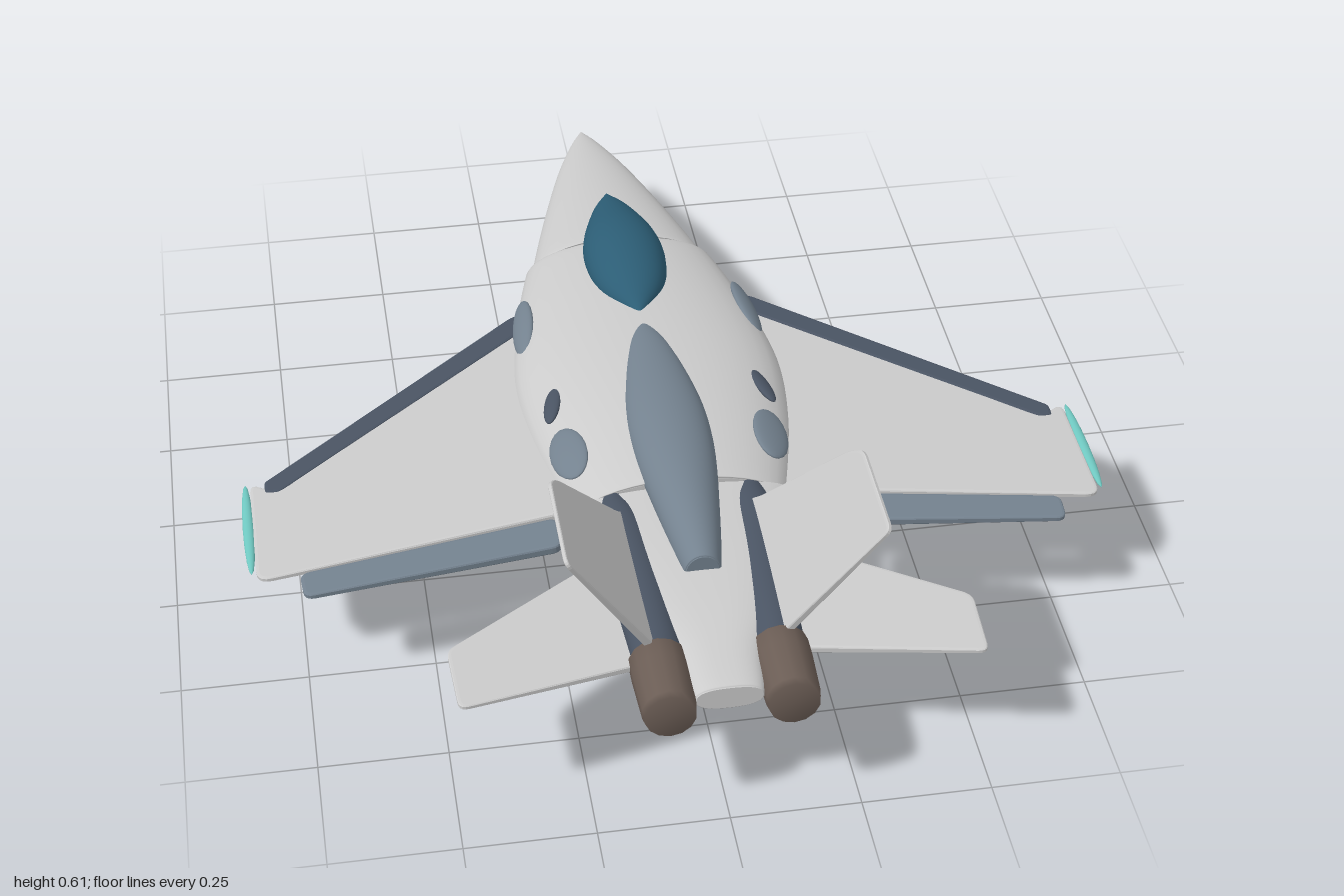
import * as THREE from 'three';

const GREY = 0xcccccc, DARK = 0x4a5463, BELLY = 0x343b48, PANEL = 0x74828f;
const GLASS = 0x2c5d75, BROWN = 0x6b5d55, TEAL = 0x6fc7c0, TYRE = 0x33363d;
const mats = {};
const mat = (c) => (mats[c] ??= new THREE.MeshStandardMaterial({ color: c, side: THREE.DoubleSide }));

function add(parent, name, geo, color) {
  const m = new THREE.Mesh(geo, mat(color));
  m.name = name;
  parent.add(m);
  return m;
}

// Smooth body along z through sections [z, centreX, centreY, halfWidth, up, down]
function loft(sections, power = 1, sides = 40, steps = 6) {
  const curve = (a, b, c) => new THREE.CatmullRomCurve3(
    sections.map((s) => new THREE.Vector3(s[a], s[b], s[c])), false, 'catmullrom', 0.5);
  const c1 = curve(0, 1, 2), c2 = curve(3, 4, 5);
  const n = (sections.length - 1) * steps, pos = [], idx = [];
  const bend = (v) => Math.sign(v) * Math.abs(v) ** power;
  const ring = (i) => {
    const p = c1.getPoint(i / n), q = c2.getPoint(i / n);
    for (let j = 0; j < sides; j++) {
      const a = (j / sides) * Math.PI * 2, s = Math.sin(a);
      pos.push(p.x + Math.max(q.x, 0.0005) * bend(Math.cos(a)),
        p.y + Math.max(s > 0 ? q.y : q.z, 0.0005) * bend(s), p.z);
    }
    return p;
  };
  // curve stores (z, x, y); reorder it to (x, y, z)
  const get = c1.getPoint.bind(c1);
  c1.getPoint = (t) => { const v = get(t); return new THREE.Vector3(v.y, v.z, v.x); };
  for (let i = 0; i <= n; i++) ring(i);
  for (let i = 0; i < n; i++) {
    for (let j = 0; j < sides; j++) {
      const k = (j + 1) % sides, a = i * sides + j, b = i * sides + k;
      idx.push(a, b, b + sides, a, b + sides, a + sides);
    }
  }
  // End caps
  for (const i of [0, n]) {
    const base = pos.length / 3, p = ring(i), mid = pos.length / 3;
    pos.push(p.x, p.y, p.z);
    for (let j = 0; j < sides; j++) {
      const a = base + j, b = base + ((j + 1) % sides);
      if (i) idx.push(mid, a, b); else idx.push(mid, b, a);
    }
  }
  const g = new THREE.BufferGeometry();
  g.setAttribute('position', new THREE.Float32BufferAttribute(pos, 3));
  g.setIndex(idx);
  g.computeVertexNormals();
  return g;
}

// Flat surface from plan corners [x, z], rounded corners, thinning toward the tip
function plate(points, side, thick, tipThick = thick, round = 0.02) {
  const pts = points.map(([x, z]) => new THREE.Vector2(x * side, z));
  const shape = new THREE.Shape();
  pts.forEach((p, i) => {
    const toward = (q) => p.clone().add(q.clone().sub(p).setLength(Math.min(round, p.distanceTo(q) * 0.4)));
    const a = toward(pts.at(i - 1)), b = toward(pts[(i + 1) % pts.length]);
    if (i) shape.lineTo(a.x, a.y); else shape.moveTo(a.x, a.y);
    shape.quadraticCurveTo(p.x, p.y, b.x, b.y);
  });
  shape.closePath();
  const g = new THREE.ExtrudeGeometry(shape, {
    depth: 0.6, bevelThickness: 0.2, bevelSize: 0.006, bevelOffset: -0.006, bevelSegments: 2, curveSegments: 5 });
  g.translate(0, 0, -0.3);
  g.rotateX(Math.PI / 2);
  const xs = points.map((p) => p[0]), lo = Math.min(...xs), hi = Math.max(...xs);
  const P = g.attributes.position;
  for (let i = 0; i < P.count; i++) {
    const t = (Math.abs(P.getX(i)) - lo) / (hi - lo);
    P.setY(i, P.getY(i) * THREE.MathUtils.lerp(thick, tipThick, t));
  }
  g.computeVertexNormals();
  return g;
}

function place(mesh, x, y, z, rotZ = 0) {
  mesh.position.set(x, y, z);
  mesh.rotation.z = rotZ;
  return mesh;
}

// Wheel on a strut, standing on the ground
function landingGear(name, x, z, r, w) {
  const g = new THREE.Group();
  g.name = name;
  g.position.set(x, 0, z);
  const tube = r * 0.32;
  const tyre = new THREE.TorusGeometry(r - tube, tube, 14, 32).rotateY(Math.PI / 2).scale(w / tube, 1, 1);
  add(g, 'tyre', tyre, TYRE).position.y = r;
  const hub = new THREE.CylinderGeometry(r * 0.5, r * 0.5, w * 1.5, 20).rotateZ(Math.PI / 2);
  add(g, 'hub', hub, GREY).position.y = r;
  const profile = [[0.006, r], [0.009, 0.09], [0.017, 0.105], [0.018, 0.125], [0.011, 0.155], [0.012, 0.205]];
  add(g, 'strut', new THREE.LatheGeometry(profile.map((p) => new THREE.Vector2(...p)), 16), GREY);
  return g;
}

export function createModel() {
  const jet = new THREE.Group();
  jet.name = 'jet';

  // Fuselage
  add(jet, 'nose', loft([
    [-1, 0, 0.235, 0.001, 0.001, 0.001], [-0.93, 0, 0.24, 0.034, 0.016, 0.012],
    [-0.8, 0, 0.247, 0.082, 0.037, 0.024], [-0.6, 0, 0.257, 0.14, 0.064, 0.041],
    [-0.42, 0, 0.265, 0.186, 0.082, 0.06], [-0.408, 0, 0.265, 0.182, 0.076, 0.055],
  ]), GREY);
  add(jet, 'centreFuselage', loft([
    [-0.402, 0, 0.267, 0.192, 0.07, 0.06], [-0.385, 0, 0.267, 0.207, 0.08, 0.068],
    [-0.2, 0, 0.27, 0.25, 0.097, 0.076], [0, 0, 0.27, 0.278, 0.106, 0.08],
    [0.2, 0, 0.27, 0.263, 0.104, 0.08], [0.41, 0, 0.272, 0.218, 0.086, 0.077],
    [0.428, 0, 0.272, 0.205, 0.075, 0.068],
  ]), GREY);
  add(jet, 'rearFuselage', loft([
    [0.43, 0, 0.28, 0.226, 0.055, 0.07], [0.6, 0, 0.283, 0.195, 0.053, 0.06],
    [0.75, 0, 0.283, 0.14, 0.046, 0.046], [0.86, 0, 0.282, 0.085, 0.036, 0.036],
    [0.955, 0, 0.28, 0.068, 0.03, 0.03], [0.97, 0, 0.28, 0.062, 0.024, 0.024],
  ], 0.8), GREY);
  add(jet, 'belly', loft([
    [-0.41, 0, 0.2, 0.13, 0.012, 0.01], [-0.36, 0, 0.2, 0.17, 0.018, 0.02],
    [-0.15, 0, 0.202, 0.22, 0.02, 0.026], [0.1, 0, 0.202, 0.235, 0.02, 0.027],
    [0.33, 0, 0.204, 0.215, 0.02, 0.024], [0.47, 0, 0.208, 0.165, 0.02, 0.02],
    [0.49, 0, 0.208, 0.15, 0.014, 0.012],
  ], 0.8), BELLY);
  add(jet, 'canopy', loft([
    [-0.58, 0, 0.342, 0.001, 0.001, 0.001], [-0.5, 0, 0.346, 0.042, 0.03, 0.015],
    [-0.38, 0, 0.352, 0.079, 0.061, 0.025], [-0.28, 0, 0.357, 0.085, 0.065, 0.025],
    [-0.18, 0, 0.362, 0.063, 0.045, 0.02], [-0.09, 0, 0.368, 0.002, 0.002, 0.002],
  ]), GLASS);
  add(jet, 'spine', loft([
    [-0.075, 0, 0.368, 0.002, 0.002, 0.01], [0.02, 0, 0.362, 0.045, 0.024, 0.03],
    [0.2, 0, 0.355, 0.078, 0.048, 0.04], [0.35, 0, 0.35, 0.08, 0.055, 0.05],
    [0.52, 0, 0.342, 0.06, 0.052, 0.05], [0.66, 0, 0.33, 0.039, 0.042, 0.04],
    [0.678, 0, 0.328, 0.032, 0.036, 0.036],
  ]), PANEL);

  for (const s of [1, -1]) {
    const half = new THREE.Group();
    half.name = s > 0 ? 'leftSide' : 'rightSide';
    jet.add(half);

    // Wing, hinged at the body with a slight droop
    const wing = new THREE.Group();
    wing.name = 'wing';
    place(wing, 0, 0.287, 0, -s * 0.04);
    half.add(wing);
    add(wing, 'wingPanel', plate([[0.18, -0.2], [0.27, -0.18], [0.78, 0.24], [0.832, 0.2],
      [0.832, 0.495], [0.18, 0.415]], s, 0.024, 0.01, 0.03), GREY);
    add(wing, 'leadingEdge', plate([[0.2, -0.25], [0.26, -0.225], [0.803, 0.205], [0.803, 0.238],
      [0.775, 0.24], [0.25, -0.165]], s, 0.03, 0.015, 0.008), DARK);
    add(wing, 'flap', plate([[0.245, 0.43], [0.75, 0.49], [0.745, 0.558], [0.245, 0.515]], s, 0.02, 0.012), PANEL);
    const tip = add(wing, 'wingTipLight', new THREE.SphereGeometry(1, 16, 24), TEAL);
    tip.scale.set(0.011, 0.008, 0.135);
    tip.position.set(s * 0.841, 0, 0.335);

    // Tail surfaces
    const stab = plate([[0.08, 0.56], [0.18, 0.56], [0.497, 0.785], [0.49, 0.94], [0.08, 0.845]], s, 0.018, 0.009);
    place(add(half, 'tailplane', stab, GREY), 0, 0.267, 0, s * 0.055);
    const fin = plate([[-0.04, 0.45], [0.02, 0.505], [0.29, 0.675], [0.322, 0.71], [0.322, 0.937], [-0.04, 0.85]]
      .map(([u, z]) => [u + 0.04, z]), s, 0.018, 0.009);
    place(add(half, 'fin', fin, GREY), s * 0.115, 0.296, 0, s * 1.065);

    // Engine
    add(half, 'engineCowl', loft([
      [0.42, s * 0.135, 0.3, 0.03, 0.03, 0.03], [0.5, s * 0.128, 0.288, 0.052, 0.05, 0.055],
      [0.68, s * 0.117, 0.283, 0.054, 0.052, 0.055], [0.85, s * 0.112, 0.28, 0.05, 0.048, 0.048],
    ], 1, 28), DARK);
    const ring = [[0, 0.84], [0.046, 0.84], [0.055, 0.85], [0.055, 0.89], [0.051, 0.985], [0.048, 1], [0, 1]];
    const nozzle = new THREE.LatheGeometry(ring.map((p) => new THREE.Vector2(...p)), 14).rotateX(Math.PI / 2);
    place(add(half, 'nozzle', nozzle, BROWN), s * 0.114, 0.278, 0);

    // Raised panels on the body shoulders
    const blister = (name, x, y, z, size, tilt, yaw, color) => {
      const b = add(half, name, new THREE.SphereGeometry(1, 20, 16), color);
      b.scale.set(...size);
      b.position.set(s * x, y, z);
      b.rotation.set(0, s * yaw, -s * tilt, 'YZX');
    };
    blister('shoulderPanel', 0.238, 0.307, -0.16, [0.028, 0.012, 0.095], 0.75, 0.1, PANEL);
    blister('slotPanel', 0.215, 0.334, 0.14, [0.018, 0.009, 0.06], 0.45, 0.22, DARK);
    blister('rearPanel', 0.203, 0.331, 0.295, [0.04, 0.011, 0.075], 0.5, -0.1, PANEL);

    half.add(landingGear('mainGear', s * 0.186, 0.155, 0.055, 0.02));
  }

  // Nose gear and its door
  jet.add(landingGear('noseGear', 0, -0.45, 0.049, 0.016));
  add(jet, 'noseGearDoor', new THREE.BoxGeometry(0.09, 0.008, 0.15), BELLY).position.set(0, 0.201, -0.458);

  return jet;
}
